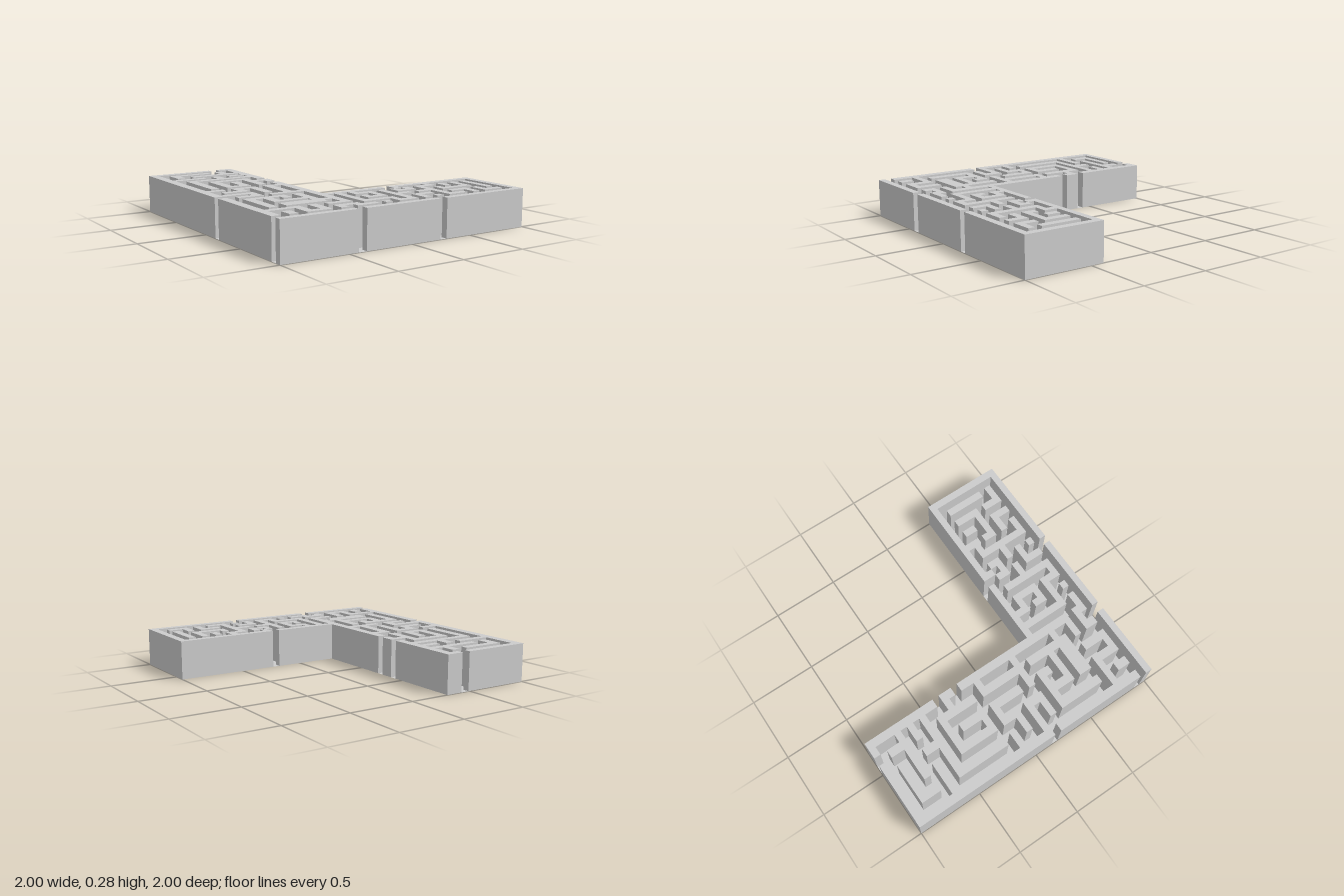
import * as THREE from 'three';

const HEIGHT = 0.28;

// Floor plan: # is wall, . is passage; each string runs along x, rows run back to front
const PLAN = [
  '########.##',
  '#.........#',
  '#.#####.#.#',
  '#.#.....#.#',
  '#.#.#######',
  '#.........#',
  '#####.#.###',
  '#.....#...#',
  '#.#########',
  '#.#.......#',
  '#.#.#####.#',
  '#.#.#...#..',
  '#.#.#.#.###',
  '#.#.#.#.#.#',
  '#.#.#.#.#..',
  '#.#.###.#.#',
  '#.........#',
  '###.###.###',
  '#...#.#.#.#',
  '#.###.#.#.#',
  '#.....#.#.#',
  '#####.#.#.#',
  '....#...#.#',
  '#.###.#####',
  '#.........#',
  '#.#####.#.#',
  '#.#.#.#.#.#',
  '#.#.#...#.#' + '#########.##############',
  '#.#.#####.#' + '.#.#......#....#........'.slice(0, 23) + '#',
  '#.#.....#.#' + '.#.###.#.#.#.###.#.#.#.#',
  '#.#.#######' + '.#...#.#.###.#...#.#.#.#',
  '#.#.#####.#' + '.#.#.#.#.....#.#...#.#.#',
  '#.........#' + '.#.###.###.###.#####.#.#',
  '#####.#.###' + '.#.....#.....#.......#.#',
  '#...#.#....' + '.#####.#.###.#.###.#.#.#',
  '#.#.#.#.###' + '.....#.#.#...#...#.#...#',
  '#.#.###.#.#' + '##.#.###.#.#.###.#.###.#',
  '...........' + '.......................#',
  '#########.#' + '##########.#############',
];

// Grid line positions: the two arms have slightly different cell sizes
const gridX = (i) => (i <= 11 ? -1 + (i * 0.7) / 11 : -0.3 + ((i - 11) * 1.3) / 24);
const gridZ = (j) => (j <= 27 ? -1 + (j * 1.4) / 27 : 0.4 + ((j - 27) * 0.6) / 12);
const cell = (i, j) => PLAN[j]?.[i];

// Collects flat quads (corners counter-clockwise from the front) into one mesh
function quadMesh(name, quads) {
  const positions = quads.flatMap(([a, b, c, d]) => [a, b, c, a, c, d].flat());
  const geometry = new THREE.BufferGeometry();
  geometry.setAttribute('position', new THREE.Float32BufferAttribute(positions, 3));
  geometry.computeVertexNormals();
  const material = new THREE.MeshStandardMaterial({ color: 0xcccccc, side: THREE.DoubleSide });
  const mesh = new THREE.Mesh(geometry, material);
  mesh.name = name;
  return mesh;
}

const level = (x0, x1, z0, z1, y) => [[x0, y, z1], [x1, y, z1], [x1, y, z0], [x0, y, z0]];
const upright = (xa, za, xb, zb) => [[xa, 0, za], [xb, 0, zb], [xb, HEIGHT, zb], [xa, HEIGHT, za]];

export function createModel() {
  const tops = [], sides = [], floor = [];

  PLAN.forEach((row, j) => {
    [...row].forEach((kind, i) => {
      const x0 = gridX(i), x1 = gridX(i + 1), z0 = gridZ(j), z1 = gridZ(j + 1);
      if (kind !== '#') {
        floor.push(level(x0, x1, z0, z1, 0));
        return;
      }
      tops.push(level(x0, x1, z0, z1, HEIGHT));
      // A side only where the neighbour is not wall
      if (cell(i, j + 1) !== '#') sides.push(upright(x0, z1, x1, z1));
      if (cell(i, j - 1) !== '#') sides.push(upright(x1, z0, x0, z0));
      if (cell(i + 1, j) !== '#') sides.push(upright(x1, z1, x1, z0));
      if (cell(i - 1, j) !== '#') sides.push(upright(x0, z0, x0, z1));
    });
  });

  const group = new THREE.Group();
  group.name = 'maze';
  group.add(quadMesh('wallTops', tops), quadMesh('wallSides', sides), quadMesh('passageFloor', floor));
  return group;
}
